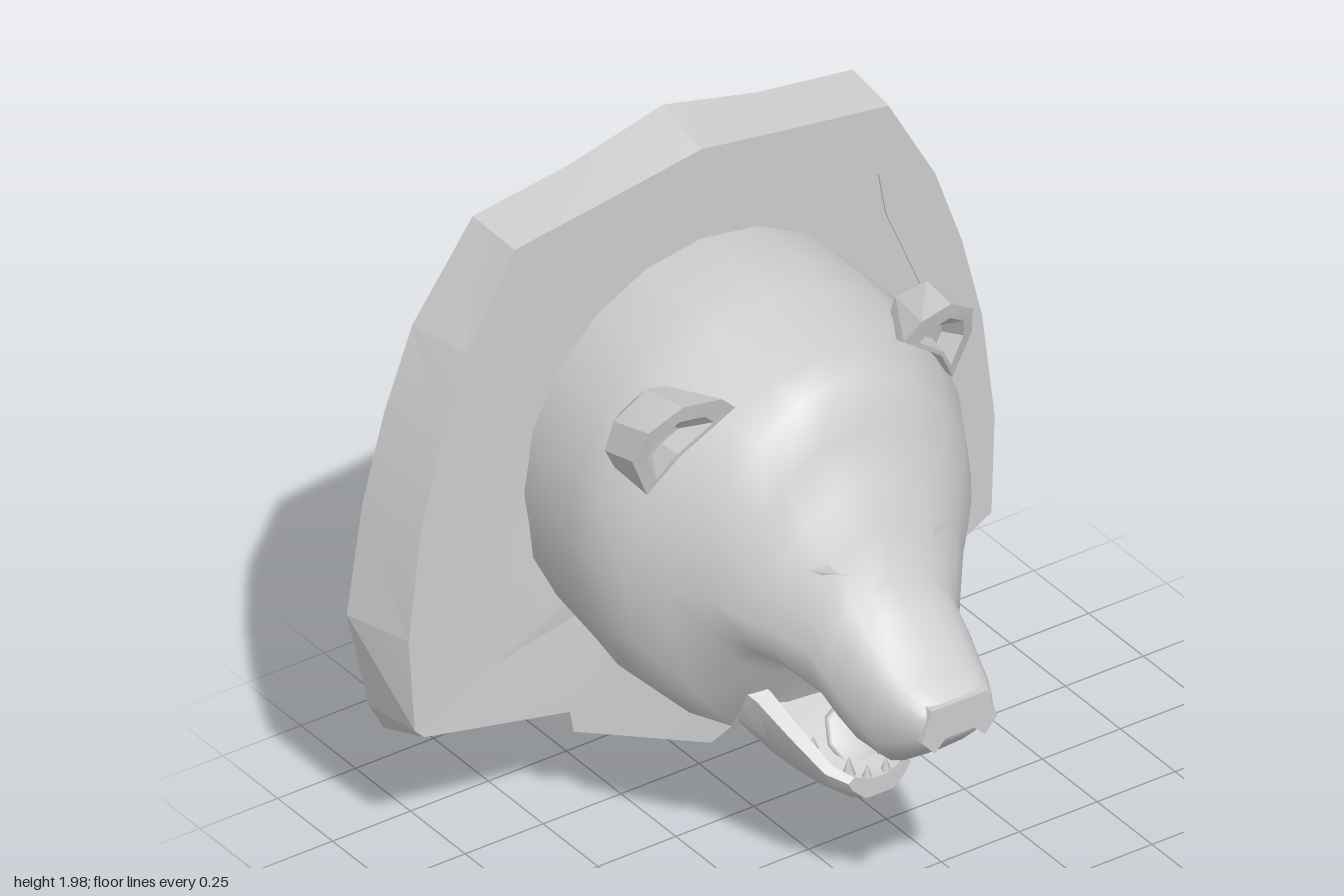
import * as THREE from 'three';
import { toCreasedNormals } from 'three/addons/utils/BufferGeometryUtils.js';

const plaster = new THREE.MeshStandardMaterial({ color: 0xcccccc, side: THREE.DoubleSide });
plaster.name = 'plainGrey';

// Skin a list of rings (each clockwise from the front, ordered back to front), ends capped
function loft(rings, crease = 0.6) {
  const pos = [];
  const tri = (...pts) => pts.forEach((p) => pos.push(...p));
  const n = rings[0].length;
  for (let i = 0; i < rings.length - 1; i++) {
    for (let j = 0; j < n; j++) {
      const k = (j + 1) % n;
      const [a, b, c, d] = [rings[i][j], rings[i][k], rings[i + 1][j], rings[i + 1][k]];
      tri(a, c, b);
      tri(b, c, d);
    }
  }
  const mid = (r) => [0, 1, 2].map((t) => r.reduce((s, p) => s + p[t], 0) / n);
  const first = rings[0], last = rings[rings.length - 1];
  const m0 = mid(first), m1 = mid(last);
  for (let j = 0; j < n; j++) {
    const k = (j + 1) % n;
    tri(m0, first[j], first[k]);
    tri(m1, last[k], last[j]);
  }
  const g = new THREE.BufferGeometry();
  g.setAttribute('position', new THREE.Float32BufferAttribute(pos, 3));
  return toCreasedNormals(g, crease);
}

// Egg-shaped cross-section: powers below 1 make the upper or lower half squarer
function oval([z, top, bot, w, mid, pTop = 1, pBot = pTop], n = 20) {
  return Array.from({ length: n }, (_, i) => {
    const a = (i / n) * Math.PI * 2;
    const up = Math.cos(a) > 0;
    const pw = (v) => Math.sign(v) * Math.abs(v) ** (up ? pTop : pBot);
    return [w * pw(Math.sin(a)), mid + pw(Math.cos(a)) * (up ? top - mid : mid - bot), z];
  });
}

// Depth of the plaque face, which swells gently forward at the lower middle
const { clamp } = THREE.MathUtils;
const faceZ = (x, y) =>
  -0.488 + 0.043 * clamp((0.68 - Math.abs(x)) / 0.25, 0, 1) * clamp((1.08 - y) / 0.4, 0, 1);

const shapeOf = (pts) => new THREE.Shape(pts.map((p) => new THREE.Vector2(...p)));
const flip = (list) => list.map(([x, y]) => [-x, y]).reverse();

export function createModel() {
  const model = new THREE.Group();
  model.name = 'mountedBearHead';
  const add = (name, geo) => {
    const m = new THREE.Mesh(geo, plaster);
    m.name = name;
    model.add(m);
    return m;
  };

  // Plaque: bevelled shield with a shallow hollow in its back
  const side = [[0.79, 1.58], [0.88, 1.34], [0.95, 1.08], [1, 0.75]];
  const sideFront = [[0.75, 1.58], [0.835, 1.34], [0.9, 1.08], [0.94, 0.75]];
  const back = [[0, 1.985], [0.3, 1.91], [0.61, 1.865], ...side, [0.94, 0.44], [0.85, 0.38],
    [0.47, 0.27], [0, 0.005], [-0.48, 0.25], [-0.49, 0.29], [-0.88, 0.35], [-0.93, 0.44],
    ...flip(side), [-0.61, 1.865], [-0.3, 1.91]];
  const front = [[0, 1.94], [0.29, 1.895], [0.6, 1.85], ...sideFront, [0.93, 0.45], [0.86, 0.41],
    [0.47, 0.28], [0, 0.1], [-0.44, 0.3], [-0.45, 0.365], [-0.89, 0.43], [-0.92, 0.46],
    ...flip(sideFront), [-0.6, 1.85], [-0.29, 1.895]];
  const shrink = ([x, y], s) => [x * s, 1 + (y - 1) * s];
  const faceRing = (s) => front.map((p) => {
    const q = shrink(p, s);
    return [...q, faceZ(...q)];
  });
  add('plaque', loft([
    back.map((p) => [...shrink(p, 0.895), -0.597]),
    back.map((p) => [...shrink(p, 0.925), -0.68]),
    back.map((p) => [...p, p[1] > 1.8 || p[1] < 0.1 ? -0.665 : -0.685]),
    faceRing(1),
    faceRing(0.75),
    faceRing(0.45),
  ], 0.2));

  // Split in the plaque, as thin slivers passing through it
  [[[0.565, 1.65], [0.60, 1.6], [0.705, 1.24]], [[0.71, 1.1], [0.735, 1.0], [0.79, 0.74]]].forEach((pts, i) => {
    const shape = shapeOf([...pts, [pts[1][0] - 0.012, pts[1][1] - 0.08]]);
    const m = add('plaqueSplit' + (i + 1), new THREE.ExtrudeGeometry(shape, { depth: 0.123, bevelEnabled: false }));
    m.position.z = -0.606;
  });

  // Neck arch standing in the hollow back
  const arc = (r, top) => Array.from({ length: 11 }, (_, i) => {
    const a = -1.42 + i * 0.278;
    return [r * Math.sin(a), 1.1 + top * Math.cos(a)];
  });
  const archShape = shapeOf([...arc(0.57, 0.56), ...arc(0.525, 0.5).reverse()]);
  add('neckArch', new THREE.ExtrudeGeometry(archShape, { depth: 0.08, bevelEnabled: false })).position.z = -0.665;

  // Skull and muzzle: z, top, bottom, half width, height of widest point, squareness above, below
  const headRings = [
    [-0.49, 1.66, 0.56, 0.57, 1.08, 1, 0.78],
    [-0.27, 1.665, 0.53, 0.58, 1.05, 1, 0.78],
    [-0.17, 1.635, 0.48, 0.585, 1.04, 1, 0.82],
    [-0.06, 1.605, 0.425, 0.55, 1.03, 1, 0.9],
    [0.05, 1.575, 0.41, 0.485, 1.02],
    [0.14, 1.545, 0.66, 0.425, 1.02],
    [0.2, 1.41, 0.74, 0.37, 0.98],
    [0.257, 1.295, 0.715, 0.315, 0.95],
    [0.345, 1.19, 0.66, 0.245, 0.9, 0.95],
    [0.385, 1.055, 0.635, 0.21, 0.82, 0.9, 0.8],
    [0.46, 0.995, 0.61, 0.2, 0.77, 0.8],
    [0.54, 0.925, 0.595, 0.175, 0.76, 0.75],
    [0.61, 0.875, 0.65, 0.15, 0.77, 0.7],
    [0.67, 0.845, 0.71, 0.12, 0.78, 0.65],
    [0.685, 0.83, 0.735, 0.1, 0.78, 0.65],
  ].map((s) => oval(s));
  headRings[0] = headRings[0].map(([x, y]) => [x, y, faceZ(x, y) - 0.004]);
  add('head', loft(headRings, 0.9));

  // Lower jaw: trough with raised rims; z, rim, floor, bottom, half width
  add('lowerJaw', loft([
    [-0.12, 0.8, 0.8, 0.52, 0.33],
    [0.05, 0.72, 0.66, 0.385, 0.32],
    [0.12, 0.64, 0.54, 0.355, 0.25],
    [0.2, 0.55, 0.46, 0.345, 0.2],
    [0.28, 0.46, 0.41, 0.345, 0.145],
    [0.325, 0.435, 0.41, 0.355, 0.1],
  ].map(([z, rim, floor, bot, w]) => {
    const half = [[0.65 * w, floor], [0.82 * w, rim], [w, rim - 0.015], [0.87 * w, (rim + bot) / 2], [0.45 * w, bot]];
    return [[0, floor], ...half, [0, bot], ...flip(half)].map((p) => [...p, z]);
  })));

  // Tongue
  const tongue = add('tongue', new THREE.SphereGeometry(1, 8, 6));
  tongue.scale.set(0.08, 0.02, 0.1);
  tongue.position.set(0, 0.47, 0.2);
  tongue.rotation.x = 0.85;

  // Nose pad with nostril notches
  const pad = shapeOf([[-0.09, 0.06], [0.09, 0.06], [0.12, -0.03], [0.08, -0.075], [0.045, -0.04],
    [-0.045, -0.04], [-0.08, -0.075], [-0.12, -0.03]]);
  add('nosePad', new THREE.ExtrudeGeometry(pad, { depth: 0.04, bevelEnabled: false })).position.set(0, 0.78, 0.65);

  // Paired parts
  for (const s of [1, -1]) {
    const label = s > 0 ? 'left' : 'right';

    // Cupped ear: hollow, rim, back
    const rim = [[0.27, 1.52, 0.05], [0.32, 1.57, 0.06], [0.43, 1.575, 0.04], [0.52, 1.51, 0.01],
      [0.545, 1.41, -0.03], [0.49, 1.28, -0.04], [0.42, 1.4, 0.01]];
    const rear = [[0.31, 1.45, -0.1], [0.37, 1.53, -0.13], [0.45, 1.565, -0.1], [0.535, 1.48, -0.13],
      [0.555, 1.39, -0.14], [0.51, 1.31, -0.16], [0.42, 1.36, -0.12]];
    const toward = (p, c, t) => p.map((v, i) => v + (c[i] - v) * t);
    const rings = [
      rear.map((p) => toward(p, [0.43, 1.43, -0.23], 0.6)),
      rear, rim,
      rim.map((p) => toward(p, [0.44, 1.43, 0.01], 0.35)),
      rim.map((p) => toward(p, [0.44, 1.42, -0.08], 0.7)),
    ].map((r) => (s > 0 ? r : r.map(([x, y, z]) => [-x, y, z]).reverse()));
    add(label + 'Ear', loft(rings, 0.3));

    // Eye and brow ridge
    const eye = add(label + 'Eye', new THREE.SphereGeometry(0.028, 8, 6));
    eye.position.set(s * 0.17, 1.06, 0.33);
    const brow = add(label + 'Brow', new THREE.ConeGeometry(0.035, 0.14, 4));
    brow.position.set(s * 0.17, 1.12, 0.33);
    brow.rotation.z = -s * 1.2;

    // Teeth: x, y, z, radius, height (negative points down)
    [[0.075, 0.45, 0.29, 0.02, 0.06], [0.03, 0.43, 0.31, 0.014, 0.04],
      [0.14, 0.51, 0.22, 0.016, 0.04], [0.1, 0.61, 0.46, 0.02, -0.05],
      [0.035, 0.605, 0.51, 0.014, -0.03], [0.11, 0.64, 0.38, 0.018, -0.04]].forEach(([x, y, z, r, h], i) => {
      const tooth = add(label + 'Tooth' + (i + 1), new THREE.ConeGeometry(r, Math.abs(h), 5));
      tooth.position.set(s * x, y, z);
      if (h < 0) tooth.rotation.x = Math.PI;
    });
  }
  return model;
}
